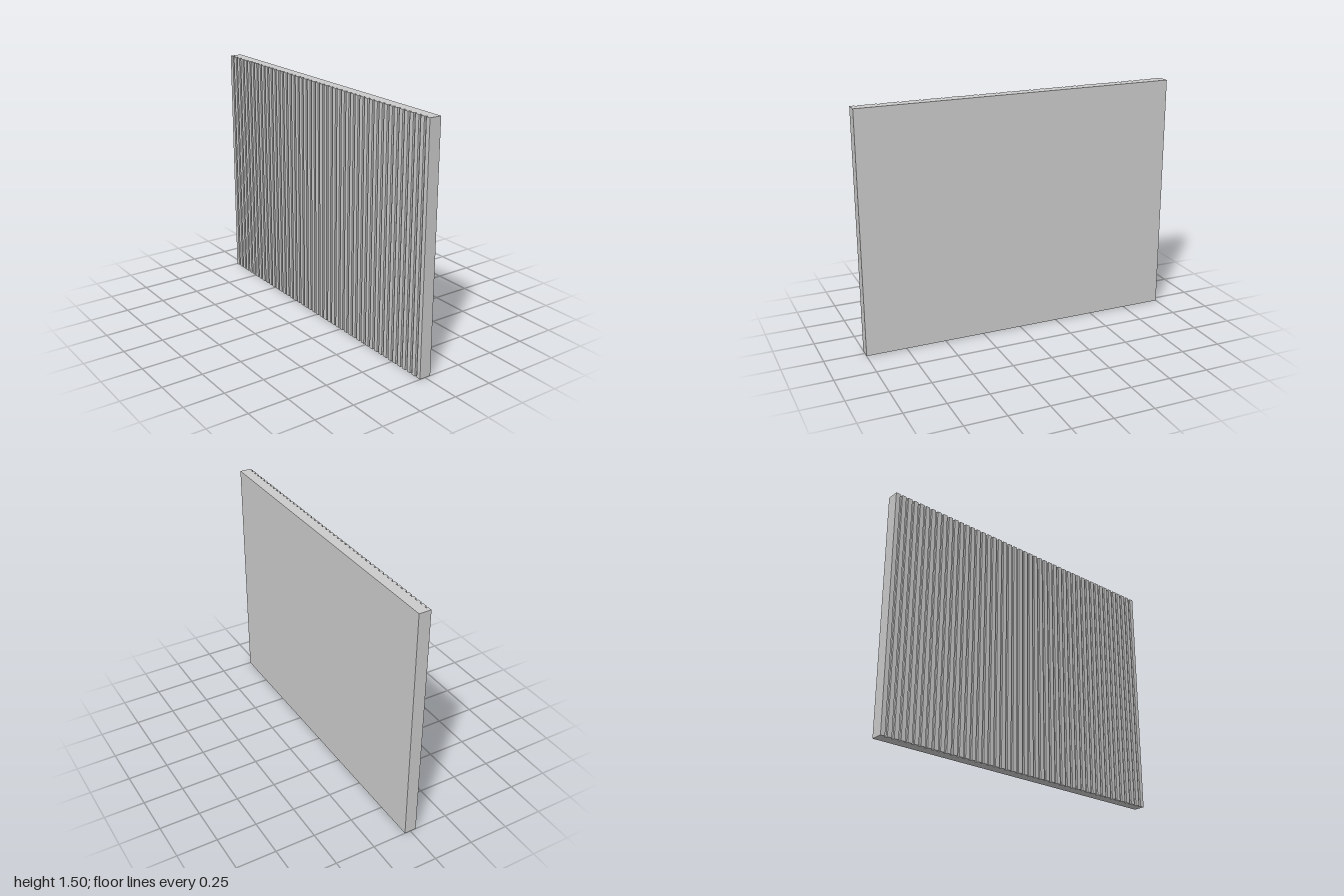
import * as THREE from 'three';

export function createModel() {
  const group = new THREE.Group();
  const material = new THREE.MeshStandardMaterial({ color: 0xcccccc, flatShading: true });

  const width = 2, height = 1.5, depth = 0.075;
  const slats = 47, slatWidth = 0.028, grooveDepth = 0.012;
  const pitch = (width - slatWidth) / (slats - 1);

  // Cross-section seen from above: flat back, row of square grooves along the front
  const back = depth / 2, front = -depth / 2;
  const profile = new THREE.Shape();
  profile.moveTo(width / 2, back);
  profile.lineTo(-width / 2, back);
  for (let i = 0; i < slats; i++) {
    const x = -width / 2 + i * pitch;
    if (i > 0) profile.lineTo(x, front + grooveDepth);
    profile.lineTo(x, front);
    profile.lineTo(x + slatWidth, front);
    if (i < slats - 1) profile.lineTo(x + slatWidth, front + grooveDepth);
  }
  profile.closePath();

  // Extrude upwards
  const geometry = new THREE.ExtrudeGeometry(profile, { depth: height, bevelEnabled: false });
  geometry.rotateX(-Math.PI / 2);

  const panel = new THREE.Mesh(geometry, material);
  panel.name = 'groovedPanel';
  group.add(panel);
  return group;
}
